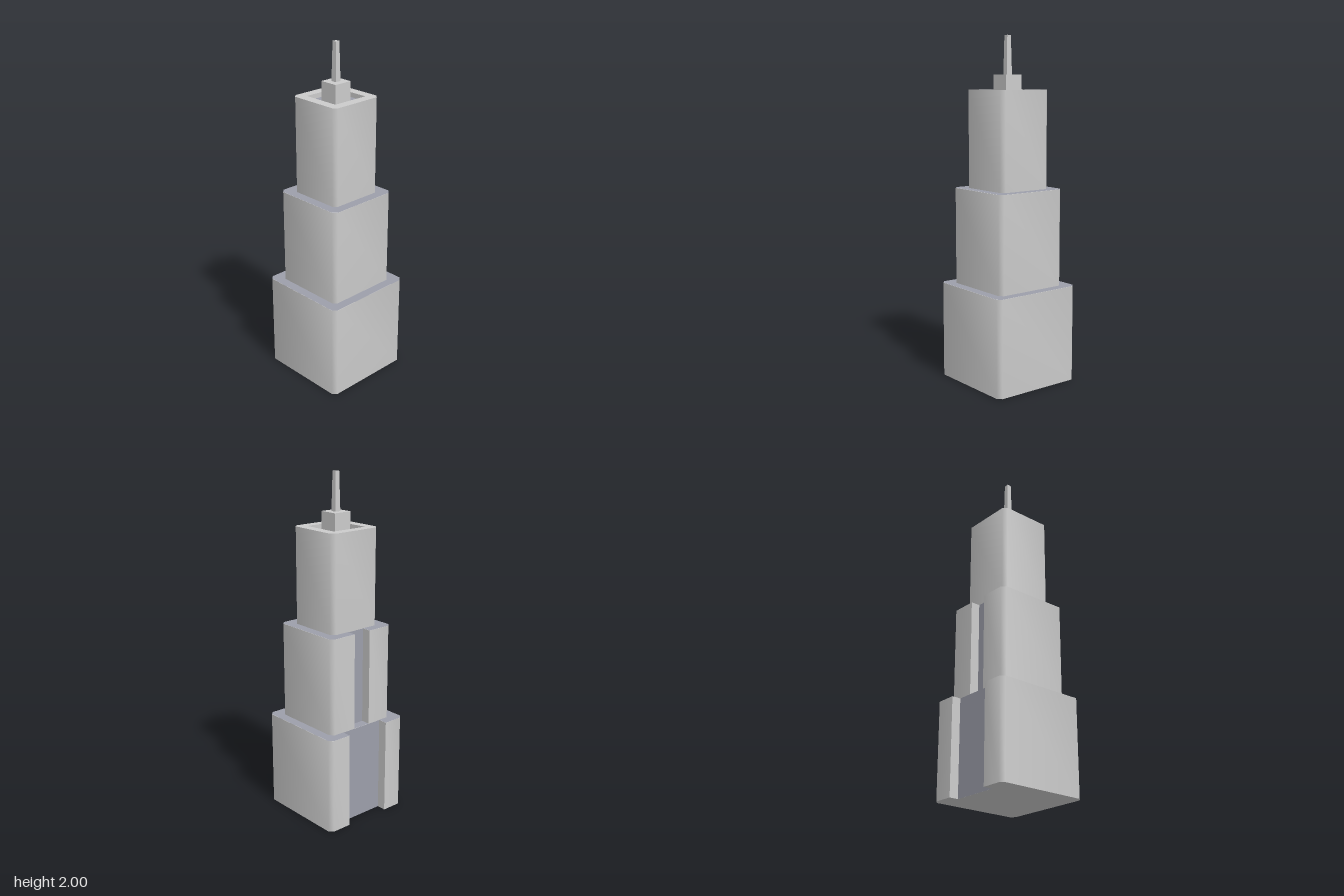
import * as THREE from 'three';
import { toCreasedNormals } from 'three/addons/utils/BufferGeometryUtils.js';

const grey = new THREE.MeshStandardMaterial({ color: 0xcccccc });
const slate = new THREE.MeshStandardMaterial({ color: 0x9c9eaa });
const CHAMFER = 0.023;

function add(parent, name, geometry, material, x = 0, y = 0, z = 0) {
  const mesh = new THREE.Mesh(geometry, material);
  mesh.name = name;
  mesh.position.set(x, y, z);
  parent.add(mesh);
  return mesh;
}

// Chamfered square plan, with an optional notch in the back (+Y in the plan is the back)
function plan(h, notchHalf, notchDepth) {
  const c = h - CHAMFER;
  const points = [[-c, -h], [c, -h], [h, -c], [h, c], [c, h]];
  if (notchHalf) {
    points.push([notchHalf, h], [notchHalf, h - notchDepth], [-notchHalf, h - notchDepth], [-notchHalf, h]);
  }
  points.push([-c, h], [-h, c], [-h, -c]);
  return new THREE.Shape(points.map(([x, y]) => new THREE.Vector2(x, y)));
}

// Upright walls; the angled corners are smoothed and the square edges stay sharp
function walls(shape, height) {
  const geometry = new THREE.ExtrudeGeometry(shape, { depth: height, bevelEnabled: false });
  geometry.rotateX(-Math.PI / 2);
  return toCreasedNormals(geometry, 0.9);
}

export function createModel() {
  const model = new THREE.Group();
  model.name = 'tower';

  // Two lower tiers, each with a slate terrace and a slate wall in the back recess
  const tiers = [
    { name: 'lowerTier', half: 0.281, y: 0, notch: 0.141 },
    { name: 'middleTier', half: 0.225, y: 0.565, notch: 0.056 },
  ];
  const tierHeight = 0.565;
  const step = 0.056;
  for (const { name, half, y, notch } of tiers) {
    const tier = new THREE.Group();
    tier.name = name;
    tier.position.y = y;
    model.add(tier);
    const shape = plan(half, notch, step);
    add(tier, 'walls', walls(shape, tierHeight), grey);
    add(tier, 'terrace', new THREE.ShapeGeometry(shape).rotateX(-Math.PI / 2), slate, 0, tierHeight + 0.001);
    const back = new THREE.PlaneGeometry(notch * 2, tierHeight).rotateY(Math.PI);
    add(tier, 'recessWall', back, slate, 0, tierHeight / 2, -(half - step) - 0.001);
  }

  // Upper tier: parapet around a sunken roof
  const upper = new THREE.Group();
  upper.name = 'upperTier';
  upper.position.y = 1.13;
  model.add(upper);
  const inner = 0.113;
  const rim = plan(0.169);
  rim.holes.push(new THREE.Path([[-1, -1], [-1, 1], [1, 1], [1, -1]]
    .map(([x, y]) => new THREE.Vector2(x * inner, y * inner))));
  add(upper, 'wallsAndParapet', walls(rim, tierHeight), grey);
  const roofY = tierHeight - 0.028;
  add(upper, 'sunkenRoof', new THREE.PlaneGeometry(inner * 2, inner * 2).rotateX(-Math.PI / 2), slate, 0, roofY);

  // Roof block and tapered square mast
  const blockHeight = 1.78 - 1.13 - roofY;
  add(upper, 'roofBlock', new THREE.BoxGeometry(0.113, blockHeight, 0.113), grey, 0, roofY + blockHeight / 2);
  const mast = new THREE.CylinderGeometry(0.013 * Math.SQRT2, 0.0175 * Math.SQRT2, 0.22, 4).rotateY(Math.PI / 4);
  add(model, 'mast', toCreasedNormals(mast, 0.9), grey, 0, 1.89);

  return model;
}
